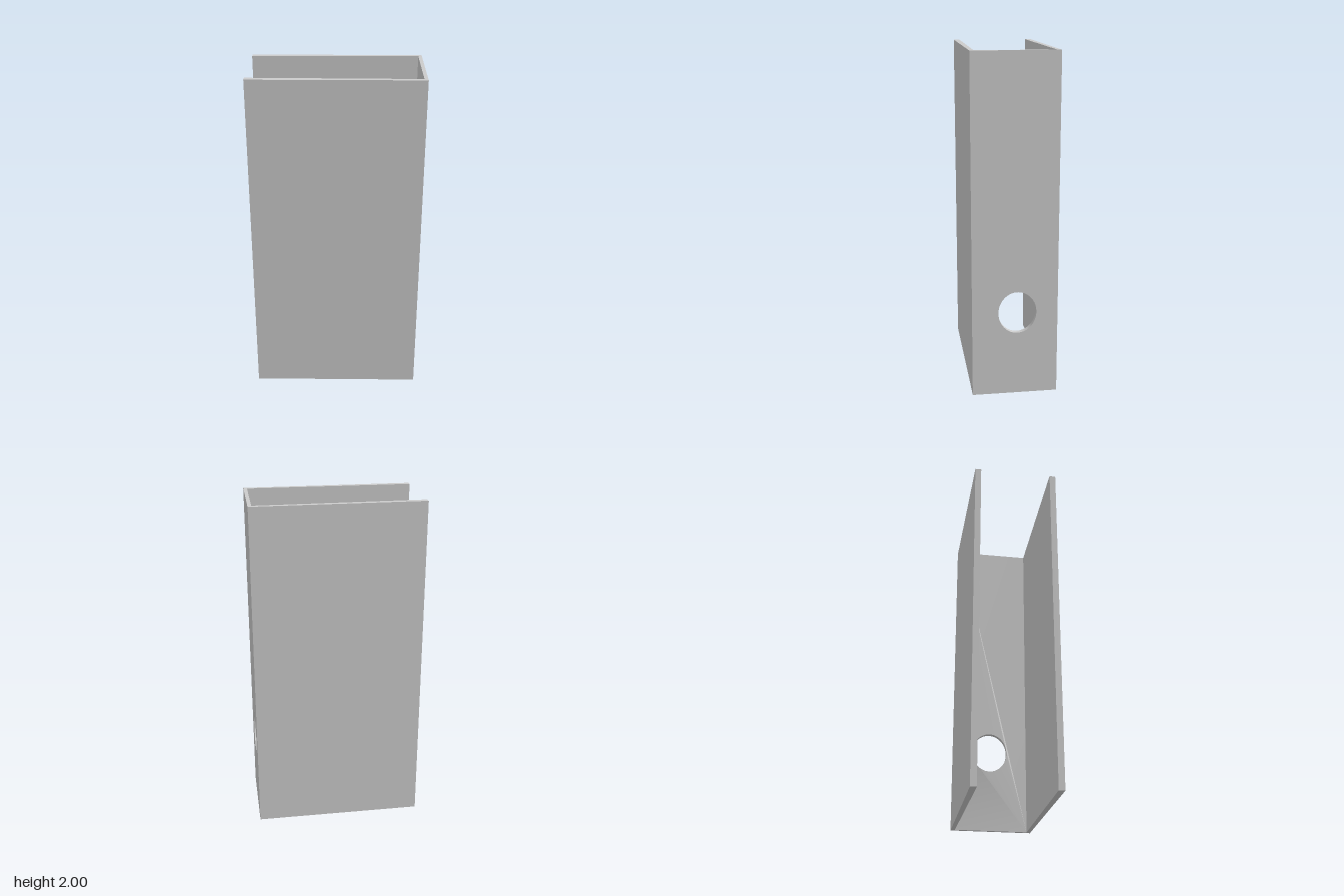
import * as THREE from 'three';
import { toCreasedNormals } from 'three/addons/utils/BufferGeometryUtils.js';

const H = 2, HALF_W = 0.5, HALF_D = 0.25;
const SPINE_IN = 0.479; // x of the spine's inner face
const CORNER_Z = 0.225; // inner corner between spine and cover
const EDGE_Z = 0.214;   // inner face of a cover at its open edge

export function createModel() {
  const group = new THREE.Group();
  const material = new THREE.MeshStandardMaterial({ color: 0xcccccc });
  const add = (name, geometry) => {
    const mesh = new THREE.Mesh(geometry, material);
    mesh.name = name;
    group.add(mesh);
  };

  // Covers: slightly tapered panels, mitred where they meet the spine
  for (const side of [1, -1]) {
    const outline = new THREE.Shape([
      new THREE.Vector2(-HALF_W, -side * HALF_D),
      new THREE.Vector2(HALF_W, -side * HALF_D),
      new THREE.Vector2(SPINE_IN, -side * CORNER_Z),
      new THREE.Vector2(-HALF_W, -side * EDGE_Z),
    ]);
    const cover = new THREE.ExtrudeGeometry(outline, { depth: H, bevelEnabled: false });
    cover.rotateX(-Math.PI / 2);
    add(side > 0 ? 'frontCover' : 'backCover', cover);
  }

  // Spine: narrow panel with an oval finger hole
  const panel = new THREE.Shape([
    new THREE.Vector2(-HALF_D, 0),
    new THREE.Vector2(HALF_D, 0),
    new THREE.Vector2(HALF_D, H),
    new THREE.Vector2(-HALF_D, H),
  ]);
  const hole = new THREE.Path();
  hole.absellipse(0.014, 0.505, 0.111, 0.125, 0, Math.PI * 2, true);
  panel.holes.push(hole);
  const spine = new THREE.ExtrudeGeometry(panel, {
    depth: HALF_W - SPINE_IN, bevelEnabled: false, curveSegments: 48,
  });

  // Inner face: mitre the long edges and swell it slightly towards the hole rim
  const pos = spine.attributes.position;
  for (let i = 0; i < pos.count; i++) {
    if (pos.getZ(i) > 0.001) continue;
    const u = pos.getX(i);
    if (Math.abs(u) > 0.2) pos.setX(i, Math.sign(u) * CORNER_Z);
    else pos.setZ(i, -0.009);
  }
  spine.rotateY(Math.PI / 2);
  spine.translate(SPINE_IN, 0, 0);
  add('spineWithFingerHole', toCreasedNormals(spine, 0.5));

  return group;
}
